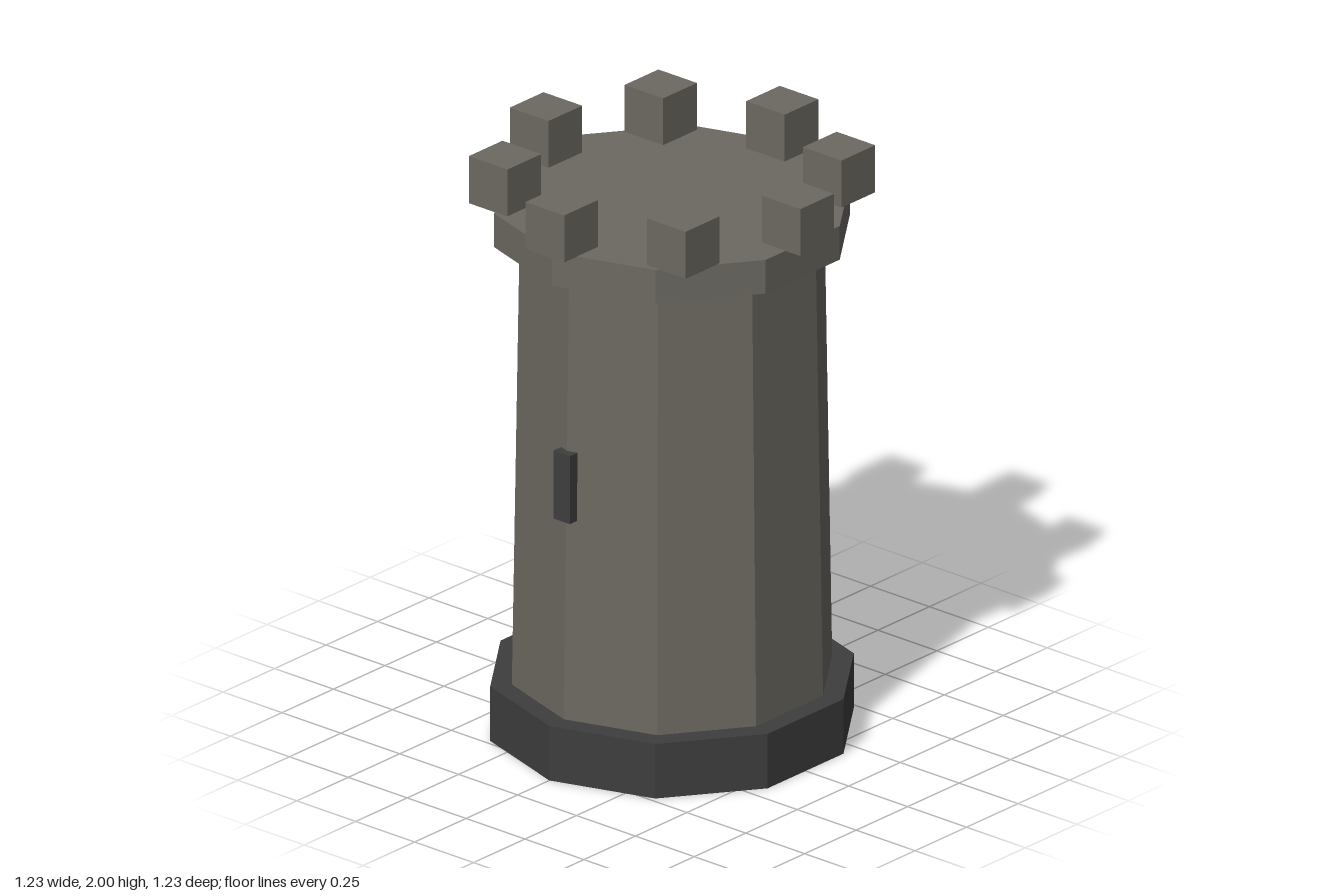
import * as THREE from 'three';

const SIDES = 10;

export function createModel() {
  const tower = new THREE.Group();
  tower.name = 'tower';

  const stone = new THREE.MeshStandardMaterial({ color: 0x6c6961 });
  stone.name = 'stone';
  const darkStone = new THREE.MeshStandardMaterial({ color: 0x3e3e3f });
  darkStone.name = 'darkStone';

  const add = (name, geometry, material, x, y, z) => {
    const mesh = new THREE.Mesh(geometry, material);
    mesh.name = name;
    mesh.position.set(x, y, z);
    tower.add(mesh);
  };

  // Faceted drum between two heights, with one corner facing the front
  const drum = (name, topRadius, bottomRadius, y0, y1, material) => {
    const geometry = new THREE.CylinderGeometry(topRadius, bottomRadius, y1 - y0, SIDES).toNonIndexed();
    geometry.computeVertexNormals();
    add(name, geometry, material, 0, (y0 + y1) / 2, 0);
  };

  drum('base', 0.596, 0.596, 0, 0.19, darkStone);
  drum('shaft', 0.5, 0.525, 0.19, 1.72, stone);
  drum('parapet', 0.583, 0.583, 1.72, 1.837, stone);

  // Battlement blocks, all square to the axes
  const size = 0.164;
  const block = new THREE.BoxGeometry(size, size, size);
  for (let i = 0; i < 8; i++) {
    const a = (i * Math.PI) / 4;
    add('battlement' + (i + 1), block, stone, Math.sin(a) * 0.535, 2 - size / 2, Math.cos(a) * 0.535);
  }

  // Narrow window on the front corner
  add('windowSlit', new THREE.BoxGeometry(0.07, 0.237, 0.046), darkStone, 0, 1.002, 0.513);

  return tower;
}
